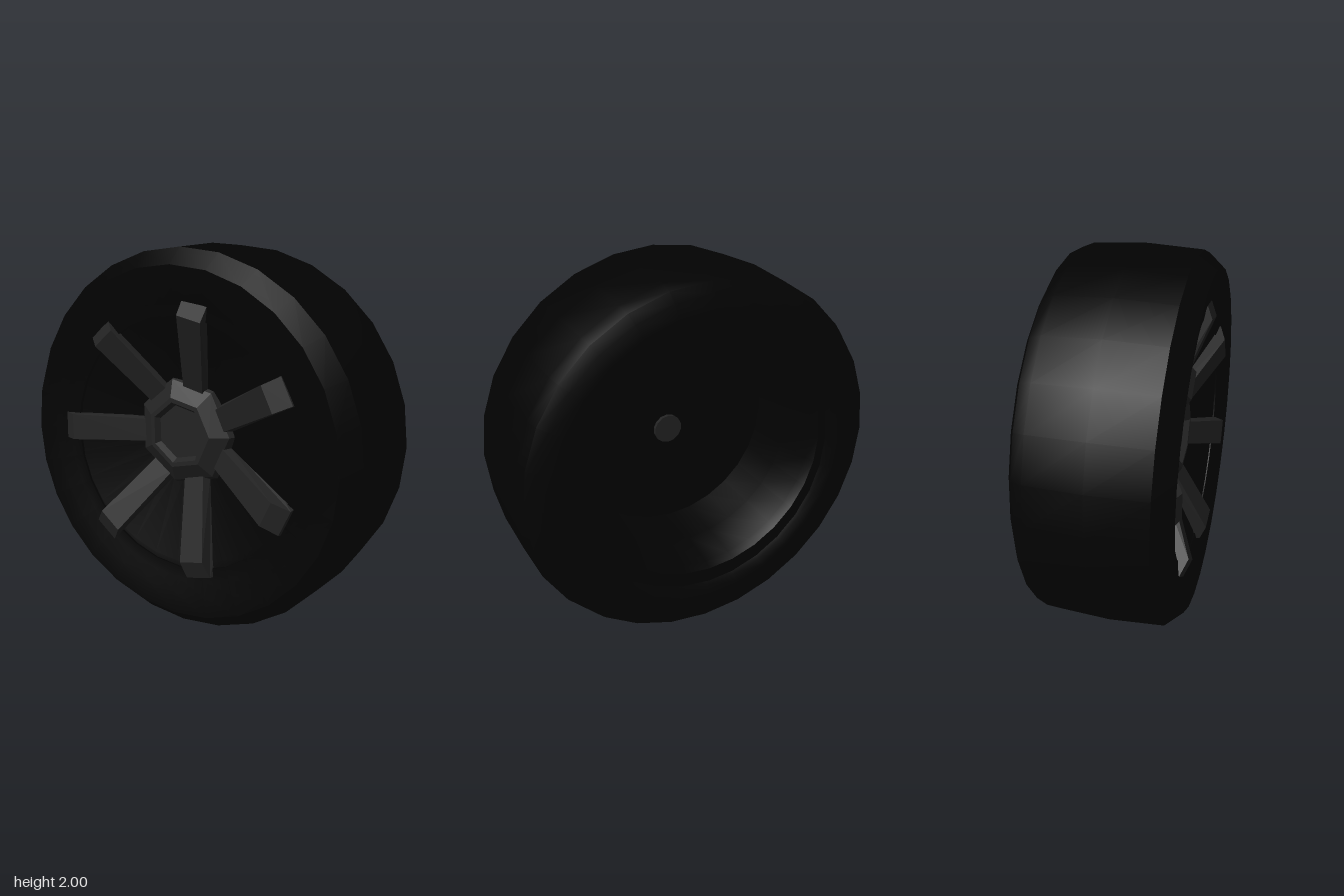
import * as THREE from 'three';
import { toCreasedNormals } from 'three/addons/utils/BufferGeometryUtils.js';

const SPOKES = 7;
const STEP = (Math.PI * 2) / SPOKES;
const FIRST_ANGLE = THREE.MathUtils.degToRad(78);

// Revolve [radius, z] points around the axle (z axis)
function revolve(points, segments) {
  const profile = points.map(([r, z]) => new THREE.Vector2(r, z));
  return new THREE.LatheGeometry(profile, segments).rotateX(Math.PI / 2);
}

function addMesh(parent, name, geometry, material) {
  const mesh = new THREE.Mesh(geometry, material);
  mesh.name = name;
  parent.add(mesh);
  return mesh;
}

// One spoke along +x: a slim side profile given a tapering width, wider at its base
function spokeGeometry() {
  const shape = new THREE.Shape([
    [0.2, 0.15], [0.64, 0.29], [0.735, 0.29], [0.73, 0.345], [0.635, 0.382], [0.2, 0.205],
  ].map(([r, z]) => new THREE.Vector2(r, z)));
  const geometry = new THREE.ExtrudeGeometry(shape, { depth: 1, bevelEnabled: false });
  geometry.translate(0, 0, -0.5);
  const p = geometry.attributes.position;
  for (let i = 0; i < p.count; i++) {
    const r = p.getX(i);
    const isBase = p.getY(i) < 0.085 + 0.34 * r;
    const half = 0.053 + 0.028 * r + (isBase ? 0.015 : 0);
    p.setZ(i, Math.sign(p.getZ(i)) * half);
  }
  geometry.rotateX(Math.PI / 2);
  geometry.computeVertexNormals();
  return geometry;
}

export function createModel() {
  const rubber = new THREE.MeshStandardMaterial({ color: 0x020202 });
  const rimPaint = new THREE.MeshStandardMaterial({ color: 0x020202 });
  const metal = new THREE.MeshStandardMaterial({ color: 0x232323, flatShading: true });

  const model = new THREE.Group();
  model.name = 'wheel';
  model.position.y = 1;
  model.rotation.y = -0.015;

  // Tyre: rounded back shoulder, crowned tread, chamfered front shoulder, dished front wall
  const tyre = revolve([
    [0.70, -0.335], [0.735, -0.365], [0.78, -0.383], [0.84, -0.383], [0.91, -0.367],
    [0.96, -0.34], [0.985, -0.28], [1, 0], [0.985, 0.29], [0.905, 0.38],
    [0.80, 0.365], [0.72, 0.34], [0.66, 0.33], [0.655, 0.28],
  ], 28);
  addMesh(model, 'tyre', toCreasedNormals(tyre, 0.55), rubber);

  // Rim: barrel with a flange open at the back, flat floor, conical face at the front
  const rim = revolve([
    [0, 0.135], [0.585, 0.135], [0.61, -0.1], [0.64, -0.3], [0.66, -0.345], [0.735, -0.354],
    [0.735, -0.3], [0.70, 0.3], [0.69, 0.325], [0.65, 0.318], [0.25, 0.18], [0, 0.18],
  ], 28);
  addMesh(model, 'rim', toCreasedNormals(rim, 0.5), rimPaint).position.set(-0.015, 0.015, 0);

  // Axle stub showing through the back of the rim floor
  const stub = new THREE.CylinderGeometry(0.08, 0.08, 0.08, 14).rotateX(Math.PI / 2);
  addMesh(model, 'axleStub', stub, metal).position.set(0.003, 0.007, 0.155);

  // Seven-sided hub with a recessed centre cap, corners between the spokes
  const hub = revolve([
    [0.26, 0.15], [0.30, 0.18], [0.28, 0.215], [0.19, 0.265],
    [0.165, 0.265], [0.145, 0.235], [0, 0.235],
  ], SPOKES).rotateZ(Math.PI / 2 + STEP / 2 + FIRST_ANGLE);
  addMesh(model, 'hub', hub, metal).position.set(-0.043, 0.046, 0);

  // Ring of spokes, slightly off-centre and tipped
  const spokes = new THREE.Group();
  spokes.name = 'spokes';
  spokes.position.set(-0.027, 0.025, 0);
  spokes.rotation.set(-0.015, -0.015, 0);
  model.add(spokes);
  const spoke = spokeGeometry();
  for (let i = 0; i < SPOKES; i++) {
    addMesh(spokes, 'spoke', spoke, metal).rotation.z = FIRST_ANGLE + i * STEP;
  }
  return model;
}
